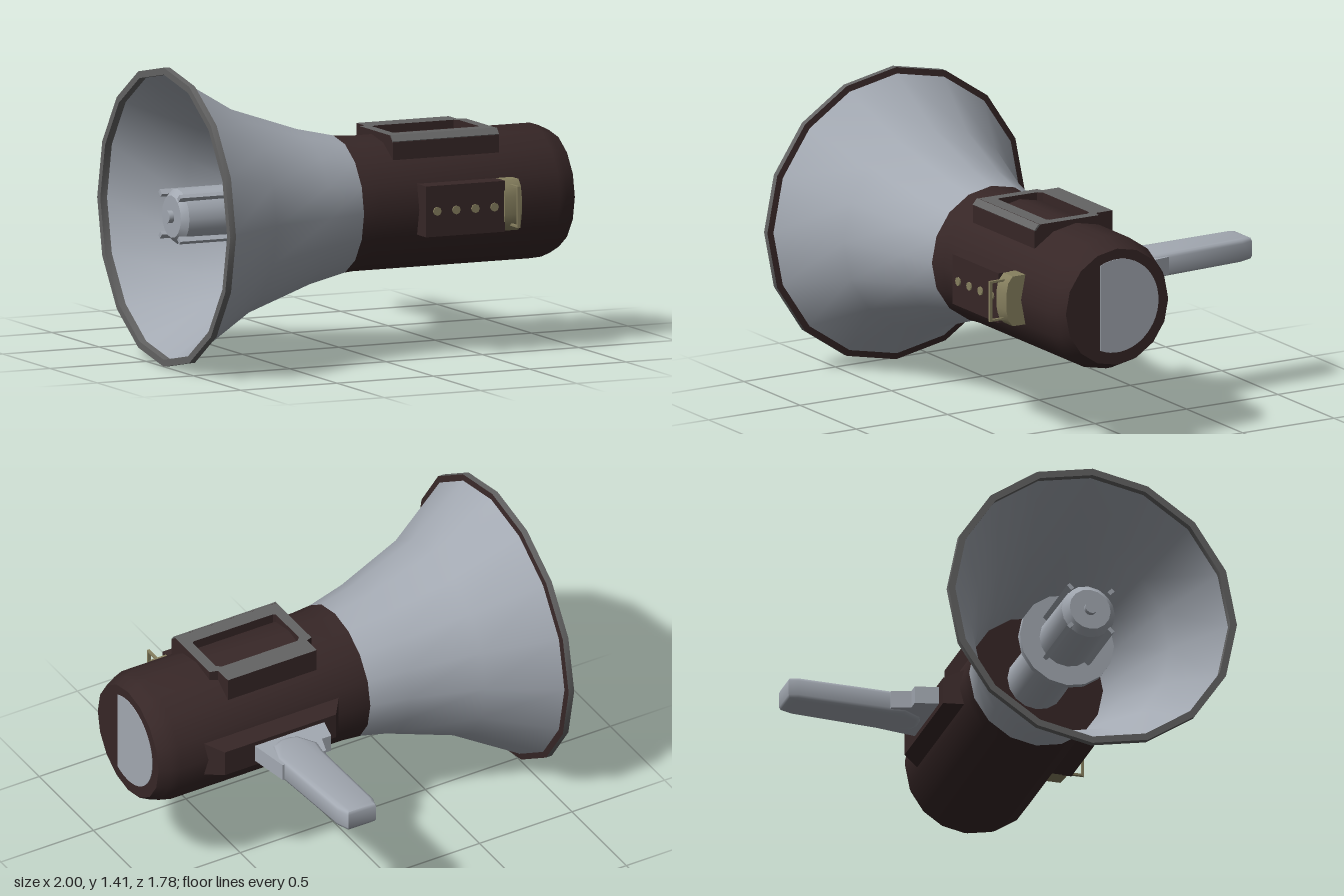
import * as THREE from 'three';
import { toCreasedNormals } from 'three/addons/utils/BufferGeometryUtils.js';

const AXIS_Y = 0.71, AXIS_Z = 0.185;

export function createModel() {
  const root = new THREE.Group();
  const mat = (name, color, side = THREE.FrontSide) => {
    const m = new THREE.MeshStandardMaterial({ color, side });
    m.name = name;
    return m;
  };
  const brown = mat('dark brown', 0x372727);
  const light = mat('light grey', 0xa3a9b2, THREE.DoubleSide);
  const grey = mat('mid grey', 0x646464, THREE.DoubleSide);
  const khaki = mat('khaki', 0x87805f);

  const add = (name, geo, material, parent = root) => {
    const m = new THREE.Mesh(geo, material);
    m.name = name;
    parent.add(m);
    return m;
  };
  const box = (name, x0, x1, y0, y1, z0, z1, material) => {
    const g = new THREE.BoxGeometry(x1 - x0, y1 - y0, z1 - z0);
    g.translate((x0 + x1) / 2, (y0 + y1) / 2, (z0 + z1) / 2);
    return add(name, g, material);
  };
  // Turned part around the long axis; points are [radius, x], listed with x rising
  const turned = (name, pts, material, crease = 0.7, sides = 16) => {
    const g = new THREE.LatheGeometry(pts.map(p => new THREE.Vector2(...p)), sides);
    g.rotateZ(-Math.PI / 2);
    g.translate(0, AXIS_Y, AXIS_Z);
    return add(name, toCreasedNormals(g, crease), material);
  };
  const shapeOf = pts => new THREE.Shape(pts.map(p => new THREE.Vector2(...p)));
  // Plan outline in [x, z], extruded upward from y0 to y1
  const slab = (shape, y0, y1, bevel = 0) => {
    const g = new THREE.ExtrudeGeometry(shape, {
      depth: y1 - y0 - 2 * bevel, bevelEnabled: bevel > 0, bevelSize: bevel,
      bevelThickness: bevel, bevelOffset: -bevel, bevelSegments: 2, curveSegments: 6,
    });
    g.rotateX(-Math.PI / 2);
    g.translate(0, y0 + bevel, 0);
    return g;
  };
  const plan = pts => shapeOf(pts.map(([x, z]) => [x, -z]));

  // Horn and its rim
  turned('bell', [[0.68, -0.975], [0.485, -0.65], [0.37, -0.31], [0.327, -0.12]], light, 1);
  turned('rim', [[0.672, -0.965], [0.672, -1], [0.705, -1], [0.705, -0.97]], grey);
  turned('rimBack', [[0.705, -0.97], [0.675, -0.965]], brown);

  // Main housing with the flat-sided end panel
  turned('body', [[0, -0.12], [0.327, -0.12], [0.32, -0.03], [0.32, 0.9],
    [0.305, 0.945], [0.28, 0.997], [0, 0.997]], brown);
  const panel = new THREE.Shape();
  panel.absarc(0, 0, 0.225, -2.0, 2.0, false);
  panel.closePath();
  const panelGeo = new THREE.ExtrudeGeometry(panel, { depth: 0.008, bevelEnabled: false, curveSegments: 16 });
  panelGeo.rotateY(Math.PI / 2);
  panelGeo.translate(0.992, AXIS_Y + 0.005, AXIS_Z);
  add('endPanel', panelGeo, light);

  // Driver inside the horn
  turned('driverDisc', [[0, -0.6], [0.23, -0.6], [0.23, -0.57], [0, -0.57]], light);
  turned('driver', [[0, -0.96], [0.1, -0.96], [0.13, -0.93], [0.14, -0.12]], light);
  turned('driverTip', [[0, -0.985], [0.03, -0.985], [0.03, -0.95]], light);
  for (let i = 0; i < 4; i++) {
    const a = Math.PI / 4 + i * Math.PI / 2;
    const rib = add('driverRib', new THREE.BoxGeometry(0.38, 0.03, 0.02), light);
    rib.position.set(-0.78, AXIS_Y + 0.14 * Math.sin(a), AXIS_Z + 0.14 * Math.cos(a));
    rib.rotation.x = Math.PI / 2 - a;
  }

  // Raised top frame around a shallow recess
  const frame = plan([[0.08, 0.38], [0.63, 0.38], [0.63, 0.06], [0.59, 0.05], [0.59, -0.04],
    [0.11, -0.04], [0.11, 0.05], [0.08, 0.06]]);
  frame.holes.push(new THREE.Path([[0.13, 0.3], [0.14, 0.31], [0.57, 0.31], [0.58, 0.3],
    [0.58, 0.09], [0.56, 0.07], [0.15, 0.07], [0.13, 0.09]].map(([x, z]) => new THREE.Vector2(x, -z))));
  add('topFrame', slab(frame, 0.92, 1.05), [grey, brown]);
  const skirt = new THREE.ExtrudeGeometry(
    shapeOf([[-0.41, 0.93], [-0.37, 0.93], [-0.37, 1.048], [-0.385, 1.048], [-0.41, 1.02]]),
    { depth: 0.55, bevelEnabled: false });
  skirt.rotateY(Math.PI / 2);
  skirt.translate(0.08, 0, 0);
  add('topFrameSkirt', skirt, brown);
  const lip = add('topFrameLip', new THREE.BoxGeometry(0.55, 0.008, 0.037), grey);
  lip.position.set(0.355, 1.036, 0.397);
  lip.rotation.x = 0.84;

  // Control panel with four buttons
  box('controlPanel', 0.17, 0.58, 0.59, 0.83, 0.4, 0.578, brown);
  for (let i = 0; i < 4; i++) {
    const g = new THREE.CylinderGeometry(0.021, 0.021, 0.008, 8);
    g.rotateX(Math.PI / 2);
    g.translate(0.226 + i * 0.099, AXIS_Y, 0.581);
    add('button', g, khaki);
  }

  // Rounded strap mount and its wire loop
  const mount = new THREE.ExtrudeGeometry(
    shapeOf([[-0.45, 0.59], [-0.45, 0.83], [-0.55, 0.83], [-0.575, 0.8], [-0.585, 0.75],
      [-0.585, 0.67], [-0.575, 0.62], [-0.55, 0.59]].reverse()),
    { depth: 0.088, bevelEnabled: false });
  mount.rotateY(Math.PI / 2);
  mount.translate(0.575, 0, 0);
  add('strapMount', toCreasedNormals(mount, 0.6), khaki);
  box('strapLoopFront', 0.609, 0.623, 0.615, 0.81, 0.638, 0.65, khaki);
  for (const y of [0.615, 0.8]) box('strapLoopArm', 0.609, 0.623, y, y + 0.01, 0.55, 0.645, khaki);

  // Tapered back plate
  const plate = new THREE.BoxGeometry(1, 1, 0.1);
  const p = plate.attributes.position;
  for (let i = 0; i < p.count; i++) {
    const outer = p.getZ(i) < 0;
    const x = p.getX(i) < 0 ? (outer ? 0.1 : 0.03) : (outer ? 0.7 : 0.77);
    const y = AXIS_Y + Math.sign(p.getY(i)) * (outer ? 0.065 : 0.09);
    p.setXYZ(i, x, y, outer ? -0.2 : -0.11);
  }
  plate.computeVertexNormals();
  add('backPlate', plate, brown);

  // Handle bracket and grip
  add('handleBracket', slab(plan([[0.16, -0.19], [0.54, -0.19], [0.505, -0.4], [0.27, -0.4],
    [0.24, -0.31], [0.19, -0.31]]), 0.67, 0.755), light);
  const grip = slab(plan([[0.33, -0.24], [0.37, -0.225], [0.42, -0.225], [0.47, -0.25],
    [0.5, -0.35], [0.465, -0.83], [0.44, -0.895], [0.29, -0.895], [0.277, -0.85],
    [0.285, -0.4], [0.275, -0.33]]), 0.657, 0.768, 0.02);
  add('handleGrip', toCreasedNormals(grip, 0.9), light);

  return root;
}
